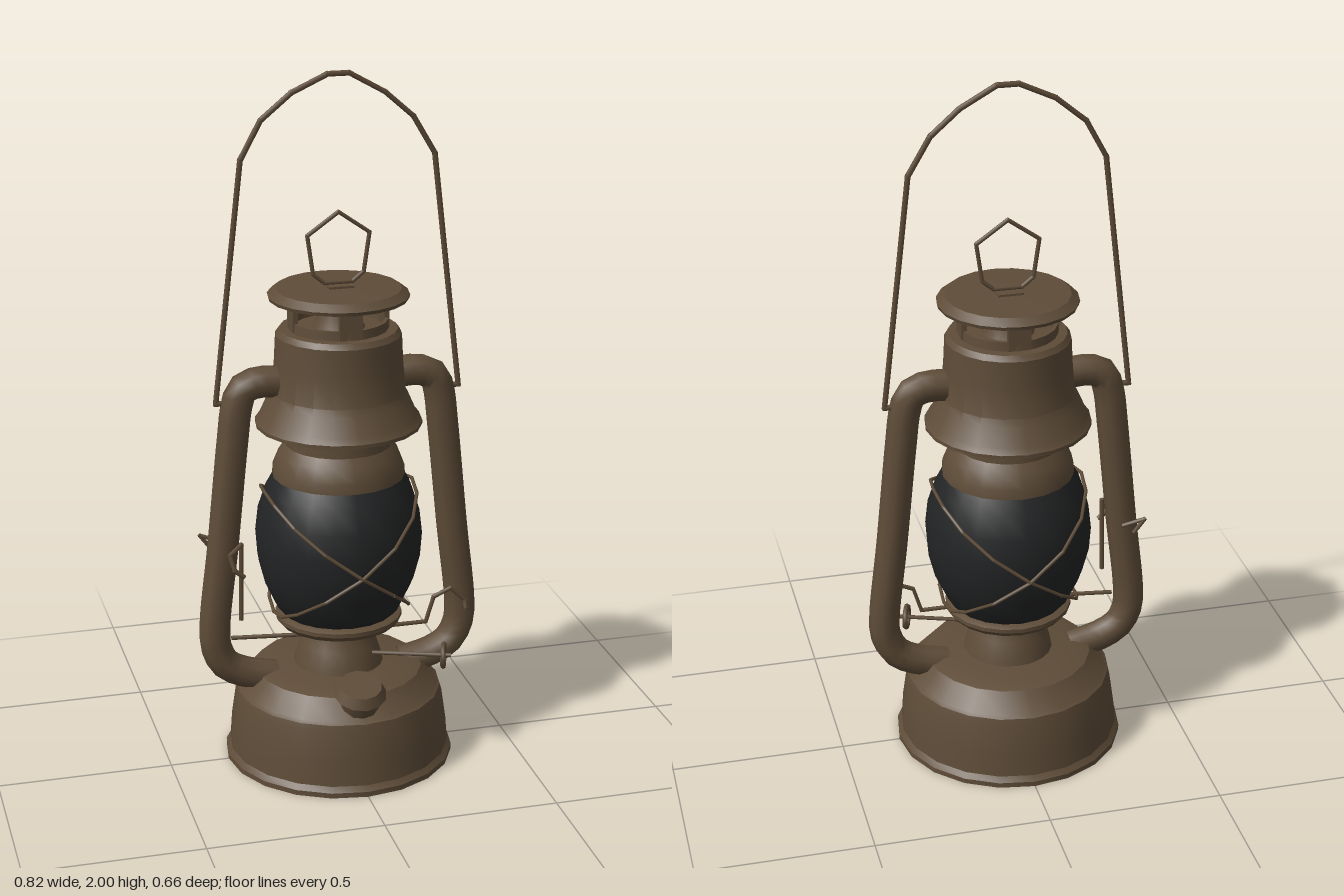
import * as THREE from 'three';
import { mergeGeometries, toCreasedNormals } from 'three/addons/utils/BufferGeometryUtils.js';

const V = (x, y, z = 0) => new THREE.Vector3(x, y, z);

export function createModel() {
  const model = new THREE.Group();
  const metal = new THREE.MeshStandardMaterial({ color: 0x5e4c38, side: THREE.DoubleSide });
  metal.name = 'agedBrownMetal';
  const glass = new THREE.MeshStandardMaterial({ color: 0x232425, side: THREE.DoubleSide });
  glass.name = 'darkGlass';

  function add(name, geometry, material = metal) {
    const mesh = new THREE.Mesh(geometry, material);
    mesh.name = name;
    model.add(mesh);
    return mesh;
  }

  // Turned part from [radius, height] pairs
  function turned(name, profile, material = metal, crease = 0.5) {
    const g = new THREE.LatheGeometry(profile.map(p => new THREE.Vector2(p[0], p[1])), 20);
    return add(name, toCreasedNormals(g, crease), material);
  }

  // Bent wire made of straight rods
  function wire(name, points, radius = 0.006, closed = false) {
    const rods = [];
    const count = closed ? points.length : points.length - 1;
    for (let i = 0; i < count; i++) {
      const a = points[i], b = points[(i + 1) % points.length];
      const dir = b.clone().sub(a);
      const rod = new THREE.CylinderGeometry(radius, radius, dir.length() + radius, 6);
      rod.applyQuaternion(new THREE.Quaternion().setFromUnitVectors(V(0, 1), dir.normalize()));
      const mid = a.clone().add(b).multiplyScalar(0.5);
      rod.translate(mid.x, mid.y, mid.z);
      rods.push(rod);
    }
    return add(name, mergeGeometries(rods));
  }

  // Fuel tank and burner
  turned('fuelTank', [[0, 0], [0.33, 0], [0.33, 0.015], [0.318, 0.03], [0.313, 0.1], [0.3, 0.19],
    [0.295, 0.208], [0.285, 0.215], [0.24, 0.268], [0.2, 0.28], [0, 0.285]]);
  turned('burner', [[0.13, 0.275], [0.125, 0.3], [0.11, 0.345], [0.095, 0.38], [0.092, 0.4]]);
  turned('globeGallery', [[0, 0.395], [0.12, 0.4], [0.17, 0.41], [0.182, 0.425], [0.182, 0.437], [0.165, 0.445], [0, 0.445]]);

  // Glass globe
  turned('glassGlobe', [[0.16, 0.44], [0.178, 0.46], [0.215, 0.54], [0.233, 0.61], [0.238, 0.68],
    [0.23, 0.75], [0.207, 0.82], [0.185, 0.86]], glass, 1);

  // Chimney, hood, vent and cap
  turned('chimneyCollar', [[0.17, 0.855], [0.188, 0.857], [0.186, 0.885], [0.17, 0.925], [0.152, 0.95], [0.15, 1.05]]);
  turned('hood', [[0.15, 1.03], [0.235, 1.008], [0.235, 1.018], [0.222, 1.035], [0.2, 1.085], [0.188, 1.105],
    [0.18, 1.19], [0.176, 1.27], [0.165, 1.285], [0, 1.29]]);
  turned('ventRing', [[0.14, 1.28], [0.138, 1.312], [0.128, 1.312], [0.125, 1.28]]);
  turned('ventCore', [[0.075, 1.285], [0.06, 1.32], [0.05, 1.375]]);
  for (let i = 0; i < 4; i++) {
    const post = new THREE.BoxGeometry(0.065, 0.09, 0.015).translate(0, 1.33, 0.13);
    add('ventPost' + (i + 1), post.rotateY(i * Math.PI / 2));
  }
  turned('topCap', [[0, 1.37], [0.14, 1.365], [0.195, 1.372], [0.198, 1.382], [0.175, 1.4], [0.08, 1.405], [0, 1.405]]);

  // Air tubes on both sides
  for (const s of [1, -1]) {
    const path = [[0.15, 1.14], [0.235, 1.143], [0.275, 1.125], [0.292, 1.08], [0.305, 0.98], [0.337, 0.67],
      [0.365, 0.42], [0.362, 0.36], [0.335, 0.305], [0.28, 0.272], [0.19, 0.25]];
    const curve = new THREE.CatmullRomCurve3(path.map(p => V(p[0] * s, p[1])), false, 'centripetal');
    add(s > 0 ? 'leftAirTube' : 'rightAirTube', new THREE.TubeGeometry(curve, 36, 0.045, 9));
  }

  // Carrying handle and lifting ring
  wire('carryingHandle', [V(-0.35, 1.09), V(-0.272, 1.77), V(-0.215, 1.875), V(-0.13, 1.945), V(-0.03, 1.991),
    V(0.03, 1.991), V(0.13, 1.935), V(0.21, 1.865), V(0.272, 1.76), V(0.35, 1.09)], 0.008);
  for (const s of [1, -1]) wire('handleHook', [V(0.3 * s, 1.09), V(0.352 * s, 1.09)], 0.008);
  wire('liftingRing', [V(-0.04, 1.414), V(0.04, 1.414), V(0.072, 1.44), V(0.088, 1.55), V(0, 1.612),
    V(-0.088, 1.55), V(-0.072, 1.44)], 0.006, true);
  for (const s of [1, -1]) add('ringClip', new THREE.BoxGeometry(0.072, 0.008, 0.028).translate(0, 1.407, 0.024 * s));

  // Two tilted guard loops that cross at front and back
  for (const s of [1, -1]) {
    const loop = [];
    for (let i = 0; i < 16; i++) {
      const a = i / 16 * Math.PI * 2, k = Math.sin(a);
      const r = 0.266 - (k * s > 0 ? 0.05 : 0.075) * k * k;
      loop.push(V(r * k, 0.635 + 0.185 * s * k, r * Math.cos(a)));
    }
    wire('globeGuard' + (s > 0 ? 'A' : 'B'), loop, 0.005, true);
  }

  // Filler cap, tilted outward on the tank shoulder
  const filler = new THREE.Group();
  filler.name = 'fillerCap';
  const lid = new THREE.Mesh(new THREE.CylinderGeometry(0.06, 0.076, 0.03, 12), metal);
  lid.name = 'fillerLid';
  lid.position.y = 0.025;
  const neck = new THREE.Mesh(new THREE.CylinderGeometry(0.066, 0.055, 0.07, 12), metal);
  neck.name = 'fillerNeck';
  neck.position.y = -0.02;
  filler.add(lid, neck);
  filler.position.set(0, 0.27, 0.235);
  filler.rotation.x = 0.3;
  model.add(filler);

  // Wick shaft and knob
  wire('wickShaft', [V(0.08, 0.325, 0.08), V(0.29, 0.325, 0.155)], 0.006);
  const knob = add('wickKnob', new THREE.TorusGeometry(0.032, 0.008, 6, 10));
  knob.position.set(0.272, 0.325, 0.15);
  knob.rotation.y = 1.2;

  // Globe lifting lever and its latch
  wire('globeLever', [V(-0.32, 0.395, 0.03), V(-0.1, 0.395, 0.06), V(0.245, 0.395, 0.06), V(0.268, 0.47, 0.06),
    V(0.318, 0.492, 0.06), V(0.362, 0.45, 0.06), V(0.362, 0.43, 0.07)], 0.006);
  wire('sideLatch', [V(-0.3, 0.465, 0.06), V(-0.297, 0.69, 0.06), V(-0.335, 0.67, 0.085), V(-0.325, 0.63, 0.1),
    V(-0.3, 0.61, 0.1)], 0.007);
  wire('rearLatch', [V(-0.33, 0.66, -0.05), V(-0.39, 0.68, -0.062), V(-0.36, 0.64, -0.06)], 0.006);

  return model;
}
